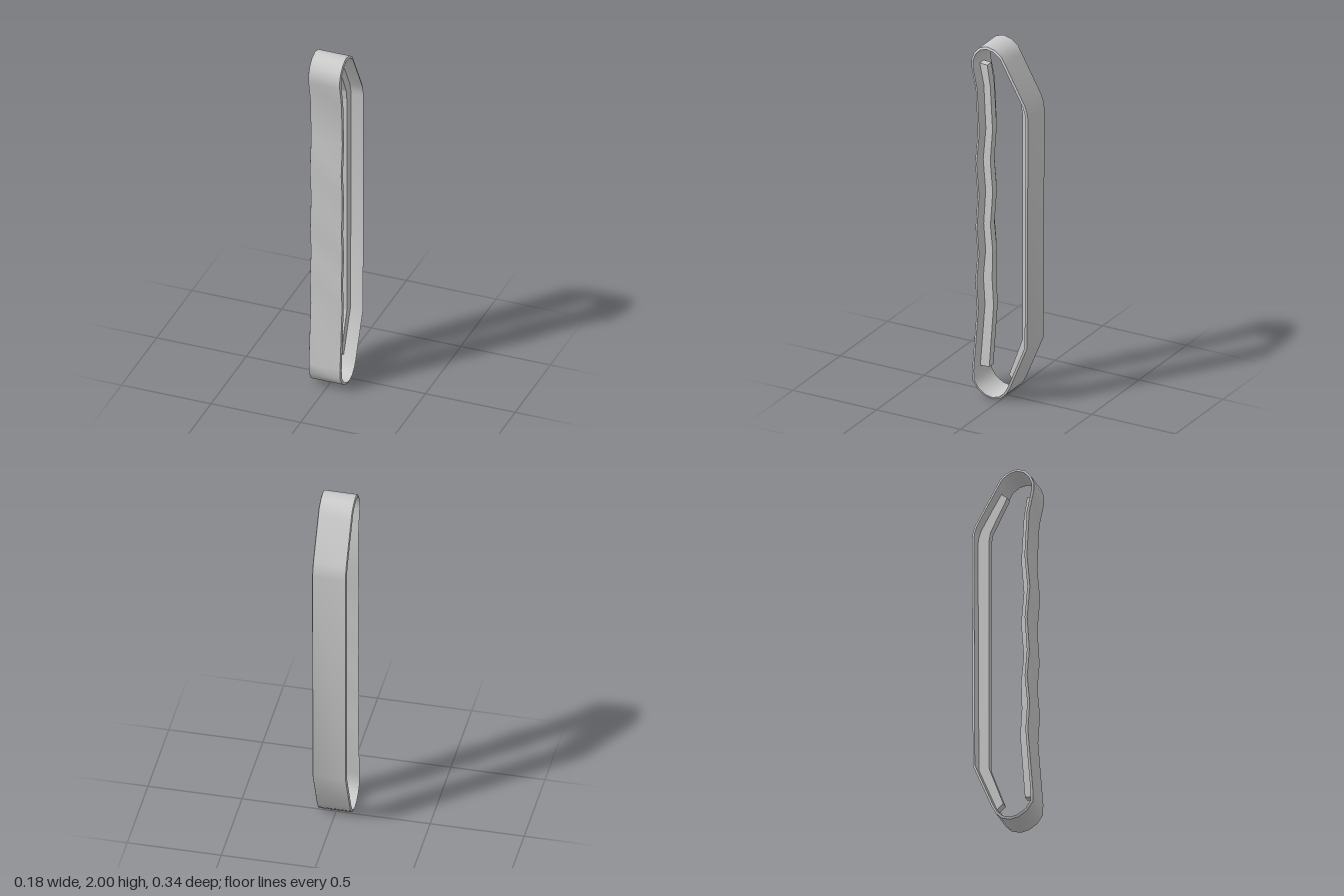
import * as THREE from 'three';
import { toCreasedNormals } from 'three/addons/utils/BufferGeometryUtils.js';

const material = new THREE.MeshStandardMaterial({ color: 0xcccccc });

// Outer side profile of the belt as [z, y]: top, down the sagging front run, up the taut back run
const outline = [
  [0.077, 2.0], [0.12, 1.985], [0.152, 1.95], [0.167, 1.91], [0.167, 1.865],
  [0.142, 1.745], [0.13, 1.5], [0.146, 1.32], [0.131, 1.146], [0.143, 0.955],
  [0.131, 0.81], [0.145, 0.655], [0.135, 0.5], [0.163, 0.143],
  [0.162, 0.085], [0.13, 0.038], [0.085, 0.009], [0.04, 0.0], [-0.008, 0.014],
  [-0.04, 0.045], [-0.062, 0.085], [-0.165, 0.334], [-0.17, 1.634], [-0.165, 1.67],
  [-0.152, 1.71], [-0.036, 1.918], [-0.012, 1.96], [0.03, 1.99],
];

// Moves each point of a profile inward by t, mitred between its two neighbours
function inset(points, t) {
  const n = points.length;
  return points.map(([z, y], i) => {
    const normal = (a, b) => new THREE.Vector2(a[1] - b[1], b[0] - a[0]).normalize();
    const n0 = normal(points[(i + n - 1) % n], points[i]);
    const n1 = normal(points[i], points[(i + 1) % n]);
    const m = n0.clone().add(n1).normalize();
    const d = t / m.dot(n1);
    return [z - m.x * d, y - m.y * d];
  });
}

// Closed belt: the outer face is slightly narrower than the inner, giving chamfered rims
function beltGeometry(halfOuter, halfInner, thickness) {
  const inner = inset(outline, thickness);
  const n = outline.length, position = [], index = [];
  outline.forEach(([z, y], i) => {
    const [zi, yi] = inner[i];
    position.push(-halfOuter, y, z, halfOuter, y, z, halfInner, yi, zi, -halfInner, yi, zi);
    for (let k = 0; k < 4; k++) {
      const j = (i + 1) % n, l = (k + 1) % 4;
      const a = i * 4 + k, b = j * 4 + k, c = j * 4 + l, d = i * 4 + l;
      index.push(a, b, c, a, c, d);
    }
  });
  const g = new THREE.BufferGeometry();
  g.setAttribute('position', new THREE.Float32BufferAttribute(position, 3));
  g.setIndex(index);
  return toCreasedNormals(g, 0.6);
}

// Narrow guide rib extruded across x from a closed [z, y] side profile
function ribGeometry(points, width) {
  const shape = new THREE.Shape(points.map(([z, y]) => new THREE.Vector2(z, y)));
  const g = new THREE.ExtrudeGeometry(shape, { depth: width, bevelEnabled: false });
  g.translate(0, 0, -width / 2);
  g.rotateY(-Math.PI / 2);
  return g;
}

export function createModel() {
  const group = new THREE.Group();
  const add = (name, geometry) => {
    const mesh = new THREE.Mesh(geometry, material);
    mesh.name = name;
    group.add(mesh);
  };

  add('trackBelt', beltGeometry(0.087, 0.092, 0.012));

  const inner = inset(outline, 0.01);

  // Front rib follows the wavy run
  add('frontGuideRib', ribGeometry([
    [0.157, 1.865], ...inner.slice(5, 13), [0.153, 0.143],
    [0.098, 0.147], [0.072, 0.5], [0.081, 0.655], [0.077, 0.81], [0.091, 0.955],
    [0.077, 1.146], [0.092, 1.32], [0.078, 1.5], [0.092, 1.745], [0.11, 1.862],
  ], 0.044));

  // Back rib follows the straight run and its two slopes
  add('backGuideRib', ribGeometry([
    [-0.056, 0.097], ...inner.slice(21, 25), [-0.03, 1.9],
    [0.002, 1.875], [-0.09, 1.69], [-0.099, 1.634], [-0.099, 0.345], [-0.02, 0.127],
  ], 0.044));

  return group;
}
